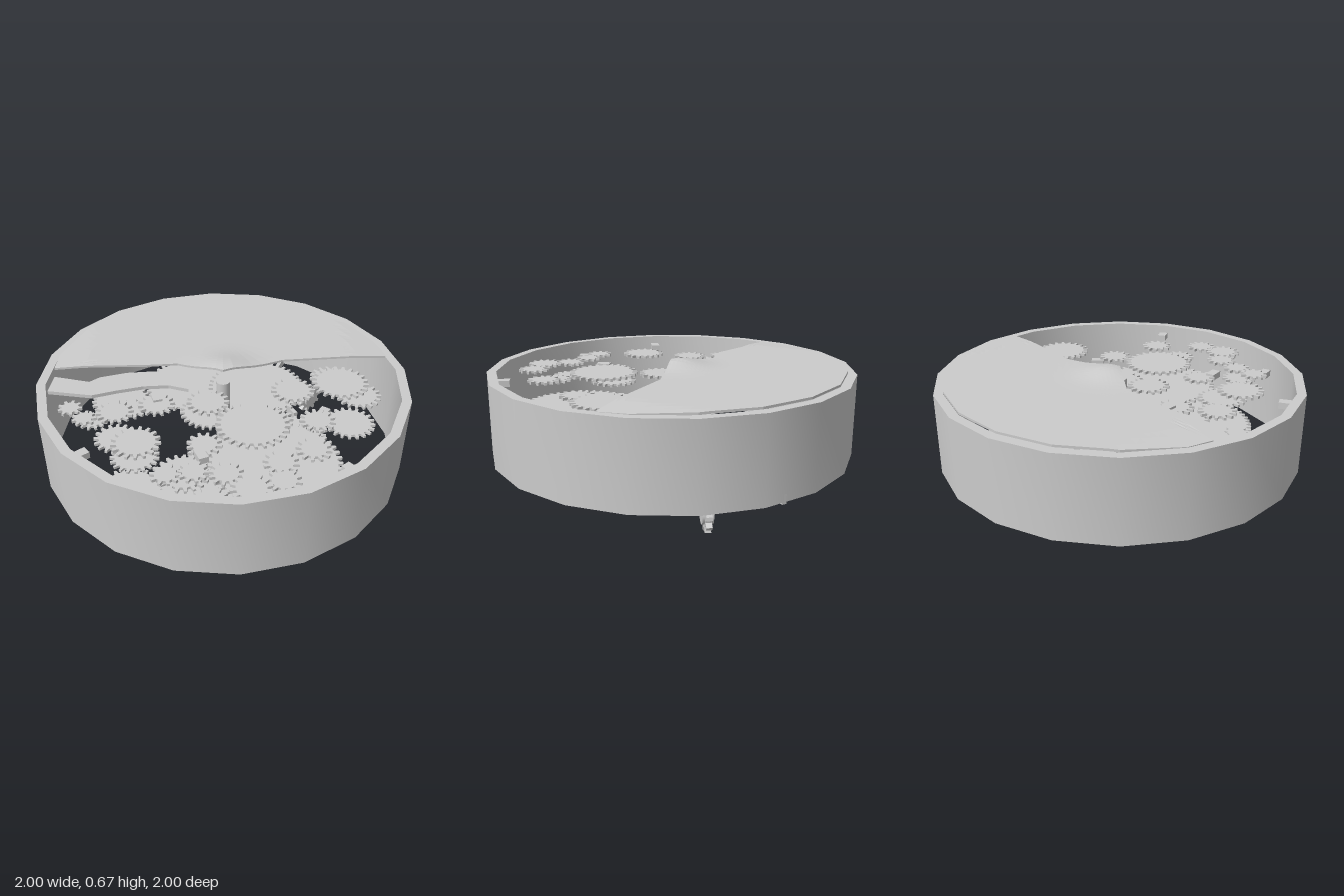
import * as THREE from 'three';
import { toCreasedNormals } from 'three/addons/utils/BufferGeometryUtils.js';

const material = new THREE.MeshStandardMaterial({ color: 0xcccccc });
const thinMaterial = new THREE.MeshStandardMaterial({
  color: 0xcccccc, side: THREE.DoubleSide, flatShading: true });

function part(parent, name, geometry, mat = material) {
  const mesh = new THREE.Mesh(geometry, mat);
  mesh.name = name;
  parent.add(mesh);
  return mesh;
}

// Plan outline [x, z] extruded upwards from y
function plate(outline, y, height, hole) {
  const toPoints = (list) => list.map(([x, z]) => new THREE.Vector2(x, -z));
  const shape = new THREE.Shape(toPoints(outline));
  if (hole) shape.holes.push(new THREE.Path(toPoints(hole)));
  const g = new THREE.ExtrudeGeometry(shape, { depth: height, bevelEnabled: false });
  g.rotateX(-Math.PI / 2);
  g.translate(0, y, 0);
  return g;
}

const polygon = (r, n) => Array.from({ length: n }, (_, i) => {
  const a = (i / n) * Math.PI * 2;
  return [r * Math.cos(a), r * Math.sin(a)];
});

// Trapezoid-toothed gear outline centred on the origin
function gearOutline(r, teeth) {
  const depth = Math.min(0.028, r * 0.3);
  const pts = [];
  for (let i = 0; i < teeth; i++) {
    for (const [f, rad] of [[0, r - depth], [0.4, r - depth], [0.55, r], [0.85, r]]) {
      const a = ((i + f) / teeth) * Math.PI * 2;
      pts.push([rad * Math.cos(a), rad * Math.sin(a)]);
    }
  }
  return pts;
}

// Domed cover: closed fan of strips from an inner point to the rim, over the top and back underneath
function coverGeometry() {
  const corners = [[-0.25, 0.12], [0, 0], [0.1, -0.35], [0.44, -0.84]];
  for (let d = -72; d >= -216; d -= 18) {
    const a = THREE.MathUtils.degToRad(d);
    corners.push([0.95 * Math.cos(a), 0.95 * Math.sin(a)]);
  }
  corners.push([-0.67, 0.65], [-0.36, 0.27]);
  const rim = [];
  corners.forEach((a, i) => {
    const b = corners[(i + 1) % corners.length];
    for (let k = 0; k < 6; k++) {
      rim.push([a[0] + (b[0] - a[0]) * k / 6, a[1] + (b[1] - a[1]) * k / 6]);
    }
  });

  // Raised at the middle, drooping at the two ends of the cut edge
  const top = (x, z) =>
    0.64 + 0.036 * Math.exp(-((x + 0.04) ** 2 + (z + 0.04) ** 2) / 0.02)
    - 0.07 * Math.max(0, Math.abs(0.6 * x - 0.8 * z) - 0.74);
  const hub = [-0.3, -0.25], steps = 16, rows = 2 * (steps + 1);
  const pos = [], idx = [];
  rim.forEach((p, c) => {
    for (let k = 0; k < rows; k++) {
      const under = k > steps;
      const t = (under ? rows - 1 - k : k) / steps;
      const x = hub[0] + (p[0] - hub[0]) * t, z = hub[1] + (p[1] - hub[1]) * t;
      pos.push(x, top(x, z) - (under ? 0.012 : 0), z);
      if (k) {
        const a = c * rows + k, b = ((c + 1) % rim.length) * rows + k;
        idx.push(a - 1, a, b - 1, b - 1, a, b);
      }
    }
  });
  const g = new THREE.BufferGeometry();
  g.setAttribute('position', new THREE.Float32BufferAttribute(pos, 3));
  g.setIndex(idx);
  g.computeVertexNormals();
  return g;
}

export function createModel() {
  const model = new THREE.Group();
  model.name = 'gearMechanism';

  // Twenty-sided case ring; the outer and inner outlines run opposite ways
  part(model, 'caseRing', toCreasedNormals(
    plate(polygon(1, 20).reverse(), 0.18, 0.445, polygon(0.95, 20)), 0.4));
  part(model, 'domedCover', coverGeometry(), thinMaterial);

  // Central post
  const post = part(model, 'centrePost', new THREE.CylinderGeometry(0.038, 0.038, 0.42, 20));
  post.position.y = 0.39;

  // Gears: x, z, radius, y of the underside
  const gears = [
    // Lowest layer
    [0.41, 0.235, 0.45, 0.177], [-0.575, -0.225, 0.295, 0.177], [0.01, 0.66, 0.19, 0.177],
    [-0.2, 0.48, 0.14, 0.19], [-0.7, 0.23, 0.18, 0.19], [-0.63, 0.48, 0.09, 0.2],
    [0.25, -0.33, 0.18, 0.2], [0.38, -0.66, 0.15, 0.2], [-0.23, -0.47, 0.3, 0.225],
    [-0.24, -0.1, 0.18, 0.21], [0.05, 0.15, 0.12, 0.2],
    // Middle layer
    [0.5, 0.08, 0.35, 0.38], [0.11, -0.76, 0.12, 0.34], [0.4, -0.68, 0.13, 0.4],
    [-0.17, 0.6, 0.12, 0.4], [0.3, 0.52, 0.14, 0.42], [0.57, 0.57, 0.1, 0.45],
    [0.3, -0.08, 0.12, 0.46],
    // Upper layer
    [0.37, 0.12, 0.19, 0.565], [0.4, -0.5, 0.155, 0.565], [0.05, 0.15, 0.115, 0.545],
    [0.1, 0.65, 0.125, 0.56], [0.22, -0.32, 0.12, 0.5], [0.52, -0.2, 0.095, 0.52],
    [0.7, 0.02, 0.09, 0.555], [0.64, 0.18, 0.09, 0.52], [0.77, 0.29, 0.085, 0.555],
    [0.71, 0.44, 0.1, 0.555], [0.56, 0.46, 0.085, 0.555], [0.45, 0.57, 0.075, 0.555],
    [0.3, 0.38, 0.09, 0.53], [0.38, 0.68, 0.075, 0.555], [-0.14, 0.35, 0.1, 0.52],
    [-0.22, 0.46, 0.09, 0.5], [-0.19, 0.58, 0.1, 0.55], [-0.31, 0.7, 0.065, 0.5],
    [-0.41, 0.72, 0.065, 0.52],
  ];
  const train = new THREE.Group();
  train.name = 'gearTrain';
  model.add(train);
  for (const [x, z, r, y] of gears) {
    const teeth = Math.max(9, Math.round((2 * Math.PI * r) / 0.046));
    part(train, 'gear', plate(gearOutline(r, teeth), y, 0.015)).position.set(x, 0, z);
  }

  // Upright winding pinion below the case, thicker at its hub
  const pinion = new THREE.Group();
  pinion.name = 'windingPinion';
  part(pinion, 'pinionTeeth', plate(gearOutline(0.09, 10), -0.015, 0.03));
  part(pinion, 'pinionHub', new THREE.CylinderGeometry(0.05, 0.05, 0.055, 16));
  pinion.rotation.z = Math.PI / 2;
  pinion.position.set(-0.07, 0.093, -0.79);
  model.add(pinion);

  // Curved upright spring strip on the underside
  const arc = new THREE.QuadraticBezierCurve(new THREE.Vector2(0.11, -0.48),
    new THREE.Vector2(-0.28, -0.56), new THREE.Vector2(-0.41, -0.9));
  const outer = [], inner = [];
  for (let i = 0; i <= 12; i++) {
    const p = arc.getPoint(i / 12), t = arc.getTangent(i / 12);
    outer.push([p.x - t.y * 0.012, p.y + t.x * 0.012]);
    inner.unshift([p.x + t.y * 0.012, p.y - t.x * 0.012]);
  }
  part(model, 'springStrip', plate([...outer, ...inner], 0.17, 0.05));

  // Curved arm reaching from the middle, under the cover edge, to the wall
  part(model, 'curvedArm', plate([
    [-0.09, 0.17], [-0.17, 0.12], [-0.25, 0.1], [-0.35, 0.2], [-0.44, 0.33],
    [-0.5, 0.47], [-0.5, 0.54], [-0.67, 0.66], [-0.57, 0.76], [-0.38, 0.6],
    [-0.33, 0.47], [-0.27, 0.34], [-0.19, 0.23],
  ], 0.555, 0.02));

  // Wall lugs and small stop blocks: x, y, z, width, height, depth, turn
  for (const [name, x, y, z, w, h, d, turn] of [
    ['wallLug', 0.92, 0.56, 0, 0.08, 0.035, 0.05, 0],
    ['wallLug', 0, 0.56, 0.91, 0.05, 0.035, 0.09, 0],
    ['stopBlock', 0.47, 0.54, 0.73, 0.07, 0.035, 0.045, -0.25],
    ['stopBlock', 0.36, 0.54, 0.45, 0.08, 0.035, 0.05, -0.3],
    ['stopBlock', 0.47, 0.5, -0.3, 0.05, 0.035, 0.07, 0.3],
    ['stopBlock', -0.18, 0.53, 0.32, 0.07, 0.035, 0.05, -0.4],
  ]) {
    const block = part(model, name, new THREE.BoxGeometry(w, h, d));
    block.position.set(x, y, z);
    block.rotation.y = turn;
  }

  return model;
}
